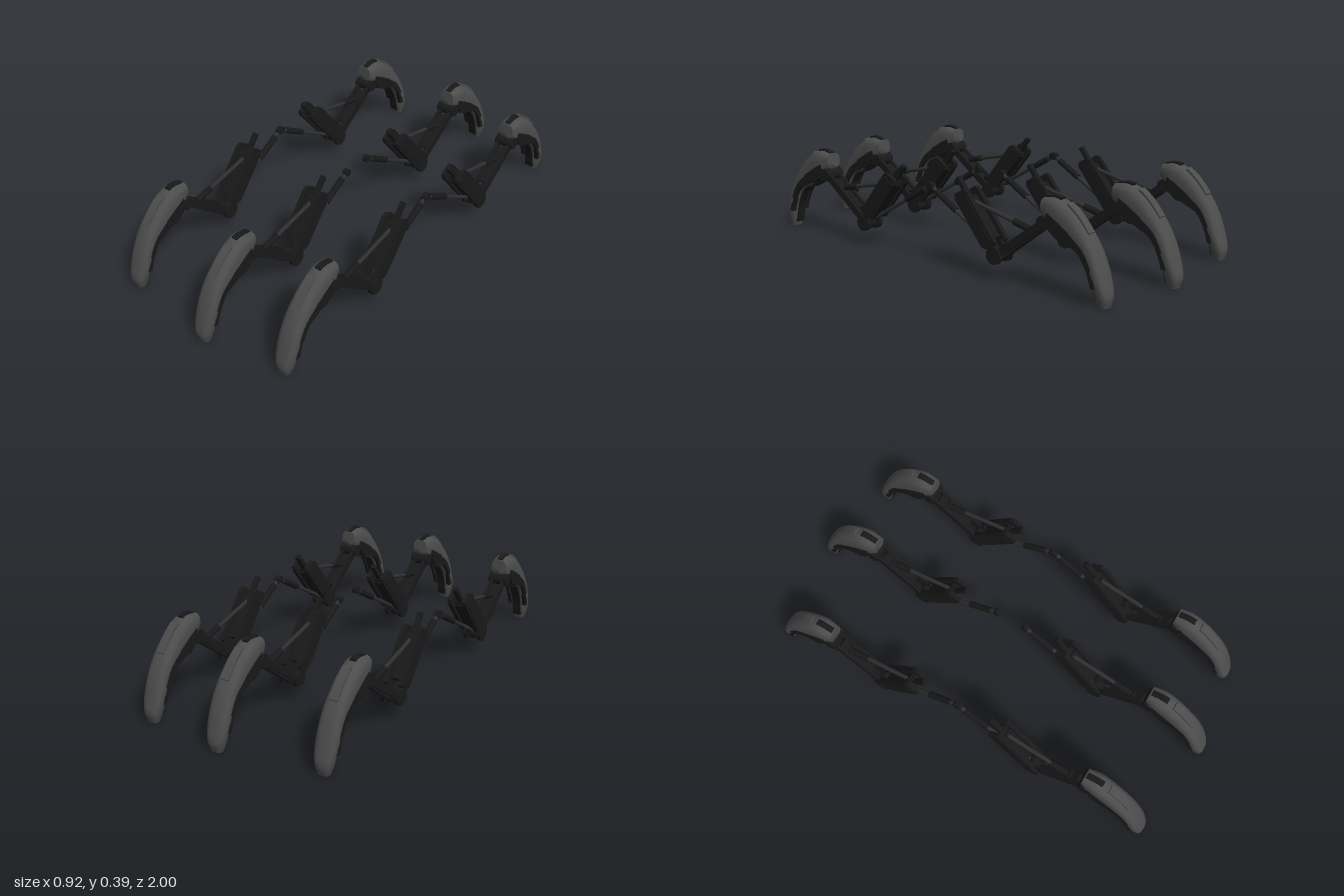
import * as THREE from 'three';
import { toCreasedNormals } from 'three/addons/utils/BufferGeometryUtils.js';

const mat = (color) => new THREE.MeshStandardMaterial({ color });
const shellMat = mat(0x4c4c4c);
const rodMat = mat(0x2e2e2e);
const darkMat = mat(0x191919);

function add(group, name, geometry, material) {
  const mesh = new THREE.Mesh(geometry, material);
  mesh.name = name;
  group.add(mesh);
  return mesh;
}

// Places a mesh built along local y between two [z, y] points of the leg plane
function span(mesh, a, b, x) {
  mesh.position.set(x, (a[1] + b[1]) / 2, (a[0] + b[0]) / 2);
  mesh.rotation.x = Math.atan2(b[0] - a[0], b[1] - a[1]);
  return mesh;
}
const dist = (a, b) => Math.hypot(b[0] - a[0], b[1] - a[1]);

function bar(group, name, a, b, width, thick, x = 0, material = darkMat) {
  return span(add(group, name, new THREE.BoxGeometry(width, dist(a, b), thick), material), a, b, x);
}

function rod(group, name, a, b, radius, x = 0, material = rodMat) {
  return span(add(group, name, new THREE.CylinderGeometry(radius, radius, dist(a, b), 14), material), a, b, x);
}

// Axle lying along x
function axle(group, name, [z, y], radius, width, x = 0, material = darkMat) {
  const geometry = new THREE.CylinderGeometry(radius, radius, width, 24).rotateZ(Math.PI / 2);
  add(group, name, geometry, material).position.set(x, y, z);
}

// Plate with a [z, y] outline, centred on x
function plate(group, name, points, width, material, x = 0) {
  const shape = new THREE.Shape(points.map(([z, y]) => new THREE.Vector2(z, y)));
  const geometry = new THREE.ExtrudeGeometry(shape, { depth: width, bevelEnabled: false });
  geometry.translate(0, 0, -width / 2).rotateY(-Math.PI / 2);
  add(group, name, geometry, material).position.x = x;
}

// Shell stations from knee to toe: outer z, y, inner z, y, half width
const stations = [
  [0.622, 0.38, 0.618, 0.315, 0.036],
  [0.685, 0.387, 0.655, 0.275, 0.046],
  [0.75, 0.358, 0.7, 0.245, 0.047],
  [0.81, 0.305, 0.755, 0.215, 0.047],
  [0.86, 0.24, 0.805, 0.195, 0.047],
  [0.895, 0.172, 0.838, 0.15, 0.047],
  [0.92, 0.1, 0.86, 0.1, 0.046],
  [0.935, 0.04, 0.873, 0.04, 0.037],
  [0.926, 0, 0.885, 0, 0.025],
];
const curveOf = (f) => new THREE.CatmullRomCurve3(stations.map(f));
const outerCurve = curveOf((s) => new THREE.Vector3(0, s[1], s[0]));
const innerCurve = curveOf((s) => new THREE.Vector3(s[4], s[3], s[2]));

// Rounded cross-sections lofted between the outer and inner curves
function shellGeometry(rows = 32, sides = 28) {
  const pos = [], index = [];
  const soft = (v) => Math.sign(v) * Math.abs(v) ** 0.7;
  for (let i = 0; i <= rows; i++) {
    const o = outerCurve.getPoint(i / rows), n = innerCurve.getPoint(i / rows);
    for (let j = 0; j < sides; j++) {
      const a = (j / sides) * Math.PI * 2, k = soft(Math.sin(a)) / 2;
      pos.push(n.x * soft(Math.cos(a)),
        (o.y + n.y) / 2 + (o.y - n.y) * k,
        (o.z + n.z) / 2 + (o.z - n.z) * k);
      if (i < rows) {
        const p = i * sides + j, q = i * sides + (j + 1) % sides;
        index.push(p, q, p + sides, q, q + sides, p + sides);
      }
    }
  }
  const last = rows * sides;
  for (let j = 1; j < sides - 1; j++) index.push(0, j + 1, j, last, last + j, last + j + 1);
  const geometry = new THREE.BufferGeometry();
  geometry.setAttribute('position', new THREE.Float32BufferAttribute(pos, 3));
  geometry.setIndex(index);
  return toCreasedNormals(geometry, 0.8);
}

// Band following the shell, between two depth fractions (0 outer, 1 inner)
function band(group, name, t0, t1, d0, d1, width, material) {
  const at = (t, d) => {
    const o = outerCurve.getPoint(t), n = innerCurve.getPoint(t);
    return [o.z + (n.z - o.z) * d, o.y + (n.y - o.y) * d];
  };
  const ts = Array.from({ length: 11 }, (_, i) => t0 + (t1 - t0) * i / 10);
  plate(group, name, [...ts.map((t) => at(t, d0)), ...ts.reverse().map((t) => at(t, d1))], width, material);
}

function createLeg() {
  const leg = new THREE.Group();
  const hip = [0.005, 0.325], knee = [0.385, 0.105], ankle = [0.635, 0.285];

  // Foot shell with its raised panel, top clip and dark underside
  add(leg, 'footShell', shellGeometry(), shellMat);
  band(leg, 'raisedPanel', 0.22, 0.44, -0.07, 0.15, 0.036, shellMat);
  band(leg, 'topClip', 0.01, 0.16, -0.06, 0.15, 0.026, darkMat);
  band(leg, 'sideLiner', 0.1, 0.66, 0.55, 0.92, 0.096, darkMat);
  band(leg, 'lowerLiner', 0.66, 0.8, 0.6, 0.95, 0.092, darkMat);
  band(leg, 'soleRidge', 0.15, 0.94, 0.9, 1.07, 0.04, darkMat);
  plate(leg, 'sideInset', [[0.66, 0.3], [0.705, 0.305], [0.765, 0.27], [0.76, 0.235], [0.71, 0.235], [0.67, 0.265]],
    0.1, darkMat);

  // Ankle joint
  axle(leg, 'ankleAxle', ankle, 0.028, 0.088);
  bar(leg, 'ankleMount', ankle, [0.67, 0.33], 0.06, 0.05);

  // Shin: two side bars, a cross web and a thin inner rod
  for (const s of [-1, 1]) {
    bar(leg, 'shinBar', knee, ankle, 0.014, 0.032, s * 0.027);
    axle(leg, 'kneeWheel', knee, 0.037, 0.018, s * 0.034);
  }
  bar(leg, 'shinWeb', [0.45, 0.152], [0.6, 0.26], 0.046, 0.014);
  rod(leg, 'shinRod', [0.41, 0.095], [0.62, 0.255], 0.008, 0, darkMat);
  axle(leg, 'kneeAxle', knee, 0.022, 0.09);
  axle(leg, 'kneeHub', knee, 0.03, 0.03);

  // Thigh block: two outer plates round a thinner core, with prongs on top
  const block = [[0.375, 0.185], [0.395, 0.16], [0.355, 0.125], [0.325, 0.13],
    [0.18, 0.305], [0.178, 0.325], [0.225, 0.355], [0.245, 0.345]];
  for (const s of [-1, 1]) {
    plate(leg, 'thighPlate', block, 0.02, darkMat, s * 0.035);
    bar(leg, 'thighRail', [0.355, 0.15], [0.215, 0.325], 0.012, 0.05, s * 0.042);
    bar(leg, 'kneeBracket', knee, [0.36, 0.15], 0.014, 0.04, s * 0.02);
  }
  bar(leg, 'thighCore', [0.345, 0.155], [0.225, 0.305], 0.055, 0.045);
  bar(leg, 'topProng', [0.225, 0.305], [0.16, 0.388], 0.022, 0.018);

  // Upper strut from the thigh block to the shin
  rod(leg, 'strut', [0.225, 0.305], [0.54, 0.235], 0.009);
  rod(leg, 'strutSleeve', [0.46, 0.253], [0.545, 0.234], 0.014, 0, darkMat);
  bar(leg, 'strutBracket', [0.545, 0.24], [0.56, 0.222], 0.05, 0.025);
  axle(leg, 'strutPin', [0.225, 0.305], 0.016, 0.07);

  // Hip rod with a thicker sleeve at the inner end
  rod(leg, 'hipRod', knee, hip, 0.009);
  rod(leg, 'hipSleeve', [0.145, 0.244], [0.035, 0.308], 0.014, 0, darkMat);
  axle(leg, 'hipPin', hip, 0.016, 0.024);
  return leg;
}

export function createModel() {
  const model = new THREE.Group();
  model.name = 'sixLeggedLinkage';
  // Three pairs of legs, the middle pair set further out
  for (const [x, out, row] of [[-0.414, 0, 'right'], [0.037, 0.065, 'middle'], [0.411, 0, 'left']]) {
    for (const s of [1, -1]) {
      const leg = createLeg();
      leg.name = `${row}${s > 0 ? 'Front' : 'Back'}Leg`;
      leg.position.set(x, 0, s * out);
      leg.rotation.y = s > 0 ? 0 : Math.PI;
      model.add(leg);
    }
  }
  return model;
}
